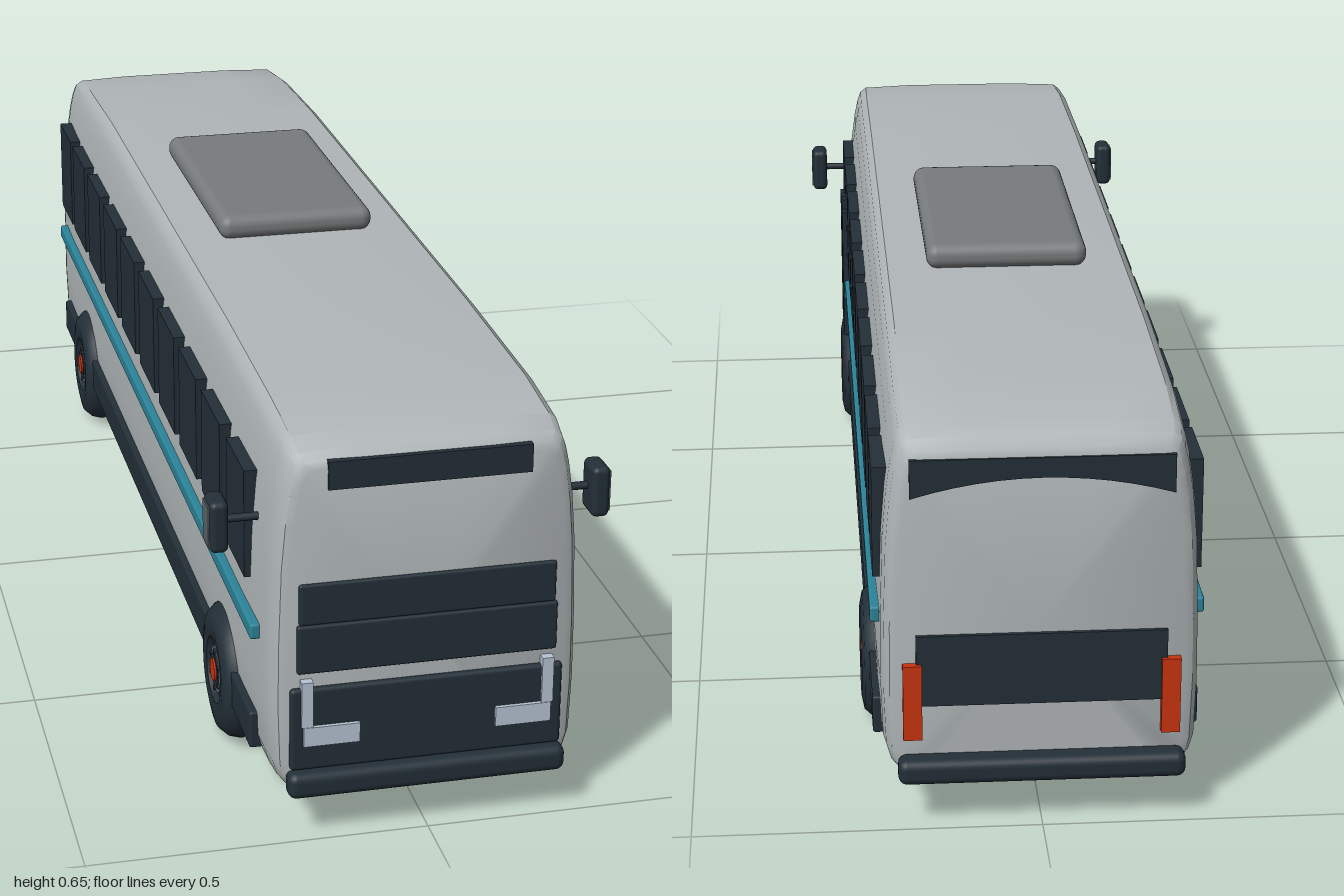
import * as THREE from 'three';
import { toCreasedNormals } from 'three/addons/utils/BufferGeometryUtils.js';
import { RoundedBoxGeometry } from 'three/addons/geometries/RoundedBoxGeometry.js';

const mat = (name, color) => {
  const m = new THREE.MeshStandardMaterial({ color });
  m.name = name;
  return m;
};

export function createModel() {
  const bus = new THREE.Group();
  bus.name = 'bus';
  const paint = mat('silver paint', 0xb0b6b8);
  const dark = mat('dark trim', 0x232f38);
  const teal = mat('teal stripe', 0x2b8398);
  const red = mat('red', 0xc9340f);
  const roofGrey = mat('roof unit grey', 0x777b7b);
  const steel = mat('wheel steel', 0x596268);
  const lamp = mat('headlamp', 0xb6c5d4);

  const add = (name, geometry, material, x = 0, y = 0, z = 0, parent = bus) => {
    const mesh = new THREE.Mesh(geometry, material);
    mesh.name = name;
    mesh.position.set(x, y, z);
    parent.add(mesh);
    return mesh;
  };
  // Box given by its limits, rounded when r > 0
  const box = (name, material, [x0, x1], [y0, y1], [z0, z1], r = 0) => {
    const w = x1 - x0, h = y1 - y0, d = z1 - z0;
    const g = r ? new RoundedBoxGeometry(w, h, d, 3, r) : new THREE.BoxGeometry(w, h, d);
    return add(name, g, material, (x0 + x1) / 2, (y0 + y1) / 2, (z0 + z1) / 2);
  };
  const sideSpan = (s, a, b) => (s > 0 ? [a, b] : [-b, -a]);

  add('body', bodyGeometry(), paint);

  // Roof unit
  box('roofUnit', roofGrey, [-0.127, 0.127], [0.612, 0.652], [-0.317, 0.154], 0.018);

  // Front end
  box('destinationSign', dark, [-0.146, 0.146], [0.535, 0.577], [0.955, 0.98]);
  box('upperWindshield', dark, [-0.187, 0.187], [0.331, 0.394], [0.968, 0.981], 0.004);
  box('lowerWindshield', dark, [-0.19, 0.19], [0.256, 0.331], [0.968, 0.983], 0.004);
  box('grille', dark, [-0.2, 0.2], [0.104, 0.233], [0.965, 0.984], 0.006);
  box('frontBumper', dark, [-0.205, 0.205], [0.064, 0.104], [0.965, 1], 0.013);

  // Rear end
  box('rearBumper', dark, [-0.205, 0.205], [0.066, 0.104], [-1, -0.96], 0.013);
  box('rearPanel', dark, [-0.178, 0.178], [0.18, 0.288], [-0.974, -0.96]);
  const arch = new THREE.Shape();
  arch.moveTo(-0.185, 0.495);
  arch.quadraticCurveTo(0, 0.55, 0.185, 0.495);
  arch.lineTo(0.185, 0.552);
  arch.lineTo(-0.185, 0.552);
  add('rearWindow', new THREE.ExtrudeGeometry(arch, { depth: 0.012, bevelEnabled: false }),
    dark, 0, 0, -0.971);

  const windows = [
    [0.775, 0.124], [0.595, 0.139], [0.414, 0.139], [0.233, 0.139], [0.053, 0.139],
    [-0.128, 0.139], [-0.307, 0.139], [-0.489, 0.139], [-0.666, 0.139], [-0.826, 0.126],
  ];
  for (const s of [1, -1]) {
    // Side glazing and trim
    for (const [z, w] of windows) {
      box('sideWindow', dark, sideSpan(s, 0.212, 0.235), [0.345, 0.511], [z - w / 2, z + w / 2]);
    }
    box('sideStripe', teal, sideSpan(s, 0.224, 0.24), [0.276, 0.3], [-0.895, 0.9], 0.004);
    box('skirt', dark, sideSpan(s, 0.215, 0.237), [0.09, 0.148], [-0.874, 0.88], 0.004);

    // Lamps
    box('headlamp', lamp, sideSpan(s, 0.1, 0.182), [0.145, 0.175], [0.975, 0.99]);
    box('lampUpright', lamp, sideSpan(s, 0.168, 0.185), [0.175, 0.246], [0.975, 0.989]);
    box('tailLamp', red, sideSpan(s, 0.17, 0.197), [0.13, 0.245], [-0.98, -0.952]);

    // Mirror on its arm
    const arm = add('mirrorArm', new THREE.CylinderGeometry(0.006, 0.006, 0.065, 10), dark,
      s * 0.24, 0.452, 0.862);
    arm.rotation.z = Math.PI / 2;
    box('mirror', dark, sideSpan(s, 0.267, 0.294), [0.41, 0.488], [0.838, 0.89], 0.009);
    box('mirrorPlate', steel, sideSpan(s, 0.29, 0.296), [0.418, 0.48], [0.845, 0.883]);

    for (const z of [0.66, -0.628]) bus.add(wheel(s, z));
  }

  // Folding door on the left side, two leaves of two strips
  for (const [z0, z1, top] of [[0.715, 0.74, 0.44], [0.686, 0.712, 0.44],
    [0.625, 0.652, 0.452], [0.597, 0.618, 0.436]]) {
    box('doorStrip', dark, [0.222, 0.243], [0.19, top], [z0, z1]);
  }

  function wheel(s, z) {
    const g = new THREE.Group();
    g.name = 'wheel';
    // Rounded tyre profile turned about the axle
    const profile = [[0, -0.03], [0.07, -0.035], [0.09, -0.031], [0.102, -0.018], [0.107, 0],
      [0.102, 0.018], [0.09, 0.031], [0.07, 0.035], [0.052, 0.033], [0.046, 0.024], [0, 0.024]]
      .map(([r, y]) => new THREE.Vector2(r, y));
    add('tyre', toCreasedNormals(new THREE.LatheGeometry(profile, 40), 0.7), dark, 0, 0, 0, g);
    add('rim', new THREE.CylinderGeometry(0.036, 0.038, 0.008, 28), steel, 0, 0.026, 0, g);
    add('hubRing', new THREE.CylinderGeometry(0.026, 0.026, 0.008, 24), dark, 0, 0.028, 0, g);
    add('hubCap', new THREE.CylinderGeometry(0.018, 0.018, 0.01, 20), red, 0, 0.03, 0, g);
    for (let i = 0; i < 6; i++) {
      const a = (i / 6) * Math.PI * 2;
      add('wheelNut', new THREE.CylinderGeometry(0.004, 0.004, 0.006, 8), dark,
        Math.cos(a) * 0.031, 0.03, Math.sin(a) * 0.031, g);
    }
    g.rotation.z = -s * Math.PI / 2;
    g.position.set(s * 0.213, 0.107, z);
    return g;
  }
  return bus;
}

// Body shell: one cross-section lofted along z, lowered and narrowed at both ends
function bodyGeometry() {
  const half = [[0.192, 0.066], [0.206, 0.072], [0.219, 0.088], [0.226, 0.112], [0.229, 0.2],
    [0.228, 0.3], [0.224, 0.42], [0.218, 0.5], [0.211, 0.555], [0.205, 0.585],
    [0.199, 0.603], [0.188, 0.612], [0.1, 0.616]];
  const ring = [...half, ...half.map(([x, y]) => [-x, y]).reverse()];
  // z, width scale, roof height
  const stations = [[-0.968, 0.89, 0.55], [-0.963, 0.94, 0.565], [-0.95, 0.975, 0.579],
    [-0.92, 0.99, 0.59], [-0.8, 1, 0.604], [-0.55, 1, 0.614], [0.5, 1, 0.616], [0.8, 1, 0.61],
    [0.92, 0.99, 0.599], [0.957, 0.975, 0.588], [0.971, 0.94, 0.577], [0.976, 0.89, 0.566]];
  const n = ring.length, pos = [], idx = [];
  for (const [z, k, top] of stations) {
    for (const [x, y] of ring) {
      const t = y > 0.4 ? 0.4 + (y - 0.4) * (top - 0.4) / 0.216 : y;
      pos.push(x * k, t, z);
    }
  }
  for (let s = 0; s < stations.length - 1; s++) {
    for (let i = 0; i < n; i++) {
      const j = (i + 1) % n, a = s * n, b = a + n;
      idx.push(a + i, a + j, b + j, a + i, b + j, b + i);
    }
  }
  // End caps
  const last = (stations.length - 1) * n, c = stations.length * n;
  pos.push(0, 0.3, stations[0][0], 0, 0.3, stations[stations.length - 1][0]);
  for (let i = 0; i < n; i++) {
    const j = (i + 1) % n;
    idx.push(c, j, i, c + 1, last + i, last + j);
  }
  const g = new THREE.BufferGeometry();
  g.setAttribute('position', new THREE.Float32BufferAttribute(pos, 3));
  g.setIndex(idx);
  return toCreasedNormals(g, 0.6);
}
